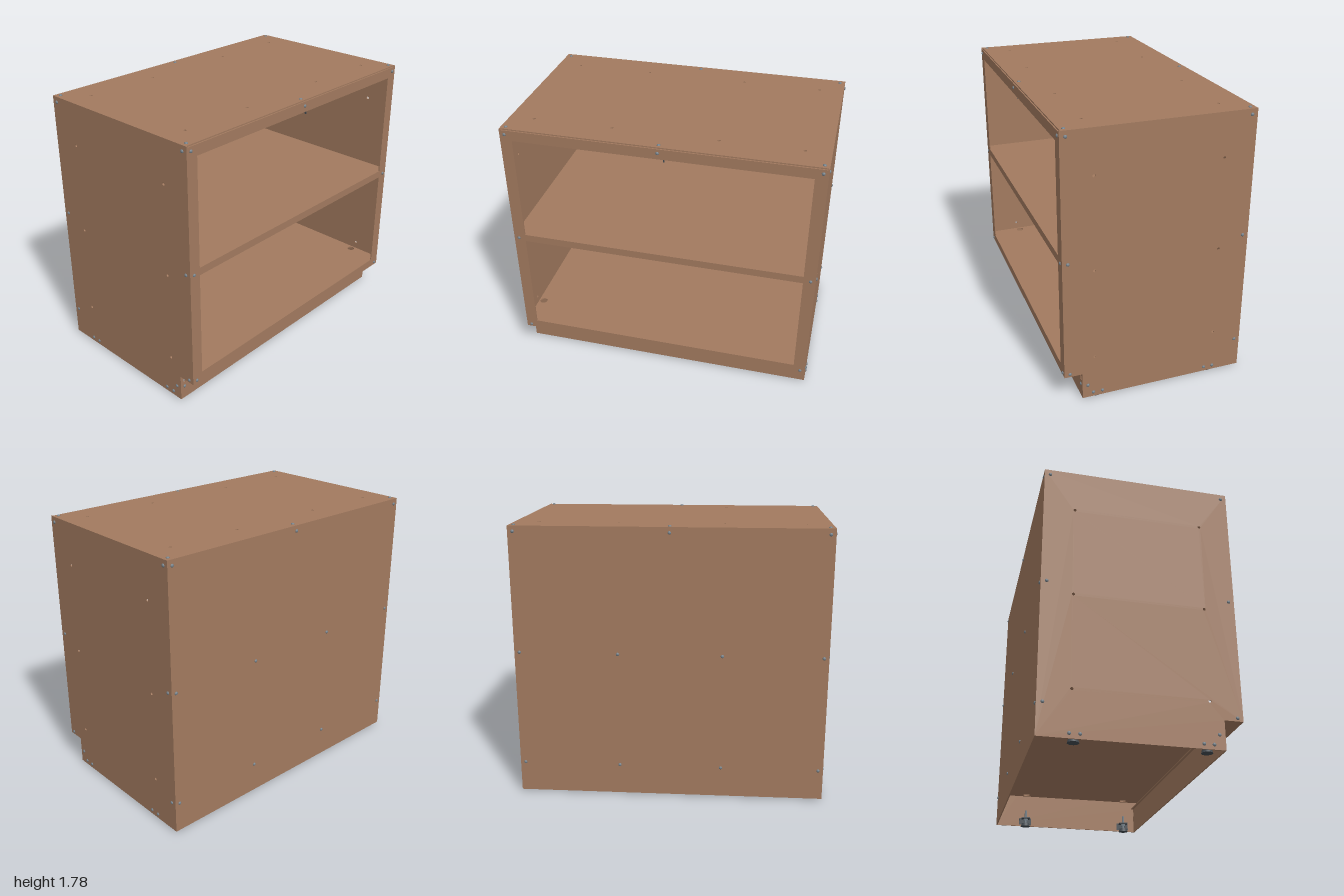
import * as THREE from 'three';

const W = 0.992, D = 0.595, TOP = 1.775, BASE = 0.01, T = 0.008;

export function createModel() {
  const brown = new THREE.MeshStandardMaterial({ color: 0xa27a5f });
  brown.name = 'brown sheet';
  const steel = new THREE.MeshStandardMaterial({ color: 0x77828a });
  steel.name = 'screw steel';
  const dark = new THREE.MeshStandardMaterial({ color: 0x454c52 });
  dark.name = 'dark hardware';

  const model = new THREE.Group();
  model.name = 'cabinet';

  const add = (name, geometry, material, x = 0, y = 0, z = 0) => {
    const mesh = new THREE.Mesh(geometry, material);
    mesh.name = name;
    mesh.position.set(x, y, z);
    model.add(mesh);
    return mesh;
  };
  const box = (name, w, h, d, x, y, z, mat = brown) =>
    add(name, new THREE.BoxGeometry(w, h, d), mat, x, y, z);

  // Flat sheet from an outline with round holes [x, y, radius]
  const sheet = (points, holes = []) => {
    const shape = new THREE.Shape(points.map(([x, y]) => new THREE.Vector2(x, y)));
    for (const [x, y, r] of holes) {
      shape.holes.push(new THREE.Path().absarc(x, y, r, 0, Math.PI * 2, true));
    }
    return shape;
  };
  const extrude = (shape) =>
    new THREE.ExtrudeGeometry(shape, { depth: T, bevelEnabled: false, curveSegments: 8 });
  const rect = (x0, y0, x1, y1) => [[x0, y0], [x1, y0], [x1, y1], [x0, y1]];

  // Side panels with a toe notch and shelf-pin holes (shape x = -z)
  const sideHoles = [];
  for (const y of [0.3, 0.9, 1.495]) for (const z of [-0.4, 0.4]) sideHoles.push([z, y, 0.009]);
  const side = extrude(sheet(
    [[-0.48, BASE], [D, BASE], [D, TOP], [-D, TOP], [-D, 0.19], [-0.48, 0.19]], sideHoles));
  side.rotateY(Math.PI / 2);
  add('leftSide', side, brown, W - T);
  add('rightSide', side, brown, -W);

  // Back panel
  box('backPanel', 2 * (W - T), TOP - BASE, T, 0, (TOP + BASE) / 2, -D + T / 2);

  // Top panel with mounting holes
  const topHoles = [];
  for (const x of [-0.835, -0.33, 0.33, 0.835]) for (const z of [-0.42, 0.42]) topHoles.push([x, z, 0.009]);
  const top = extrude(sheet(rect(-W + T, -D + T, W - T, D), topHoles)).rotateX(-Math.PI / 2);
  top.scale(1, 1, 1);
  add('topPanel', top, brown, 0, TOP - T, 0);

  // Front frame: stiles and rails folded from one sheet
  const frame = sheet(rect(-W + T, 0.19, W - T, TOP - T));
  for (const [y0, y1] of [[0.25, 0.95], [1.0, 1.7]]) {
    const hole = rect(-0.915, y0, 0.915, y1).reverse().map(([x, y]) => new THREE.Vector2(x, y));
    frame.holes.push(new THREE.Path(hole));
  }
  add('frontFrame', extrude(frame), brown, 0, 0, D - T);

  // Shelves with rear and side flanges; the lower one has leveller access holes
  const access = [];
  for (const x of [-0.95, 0.95]) for (const z of [-0.38, 0.38]) access.push([x, z, 0.026]);
  const addShelf = (name, y, holes) => {
    const plate = extrude(sheet(rect(-W + T, -D + T, W - T, D - T), holes)).rotateX(-Math.PI / 2);
    add(name, plate, brown, 0, y - T, 0);
    box(name + 'RearFlange', 1.96, 0.05, T, 0, y - 0.025 - T, -D + 1.5 * T);
  };
  addShelf('middleShelf', 1.0, []);
  addShelf('bottomShelf', 0.25, access);

  // Return under the lower rail, above the toe space
  box('toeCeiling', 2 * (W - T), T, 0.13, 0, 0.19 + T / 2, D - T - 0.065);

  // Toe kick with slots
  const kick = sheet(rect(-W + T, BASE, W - T, 0.19));
  for (const x of [-0.96, 0.96]) {
    const slot = rect(x - 0.007, 0.13, x + 0.007, 0.16).reverse();
    kick.holes.push(new THREE.Path(slot.map(([a, b]) => new THREE.Vector2(a, b))));
  }
  add('toeKick', extrude(kick), brown, 0, 0, 0.48 - T);

  // Domed screw heads, each facing along its axis
  const head = new THREE.SphereGeometry(0.011, 12, 5, 0, Math.PI * 2, 0, Math.PI / 2);
  head.scale(1, 0.73, 1);
  const up = new THREE.Vector3(0, 1, 0);
  const screw = (x, y, z, nx, ny, nz) => {
    add('screw', head, steel, x, y, z)
      .quaternion.setFromUnitVectors(up, new THREE.Vector3(nx, ny, nz));
  };
  for (const s of [-1, 1]) {
    for (const y of [1.74, 0.97, 0.21]) {
      for (const e of [-1, 1]) {
        screw(s * W, y, e * 0.56, s, 0, 0);
        screw(e * 0.96, y, s * D, 0, 0, s);
      }
    }
    screw(0, 1.74, s * D, 0, 0, s);
    for (const x of [-0.96, 0, 0.96]) screw(x, TOP, s * 0.56, 0, 1, 0);
    screw(s * W, 0.1, 0.445, s, 0, 0);
    screw(s * 0.96, 0.1, 0.48, 0, 0, 1);
    for (const z of [-0.41, -0.35, 0.35, 0.41]) screw(s * W, 0.04, z, s, 0, 0);
    for (const y of [0.97, 0.21]) {
      screw(s * 0.33, y, -D, 0, 0, -1);
      // Clip nut over the shelf's rear edge
      box('clipNut', 0.022, 0.045, 0.012, s * 0.33, y + 0.013, -D + 2.3 * T, dark);
    }
  }

  // Small door catch pin under the top rail
  box('catchPin', 0.006, 0.035, 0.012, 0.035, 1.693, D - 0.02, dark);

  // Levelling feet: bracket on the side wall, threaded rod, nut and pad
  for (const s of [-1, 1]) {
    for (const z of [-0.38, 0.38]) {
      box('footBracketPlate', 0.006, 0.05, 0.09, s * (W - T - 0.003), 0.045, z, dark);
      box('footBracketShelf', 0.06, 0.008, 0.06, s * 0.954, 0.062, z, dark);
      add('footRod', new THREE.CylinderGeometry(0.009, 0.009, 0.11, 12), steel, s * 0.95, 0.065, z);
      add('footNut', new THREE.CylinderGeometry(0.018, 0.018, 0.014, 6), steel, s * 0.95, 0.05, z);
      add('footPad', new THREE.CylinderGeometry(0.028, 0.034, 0.022, 20), dark, s * 0.95, 0.011, z);
    }
  }
  return model;
}
